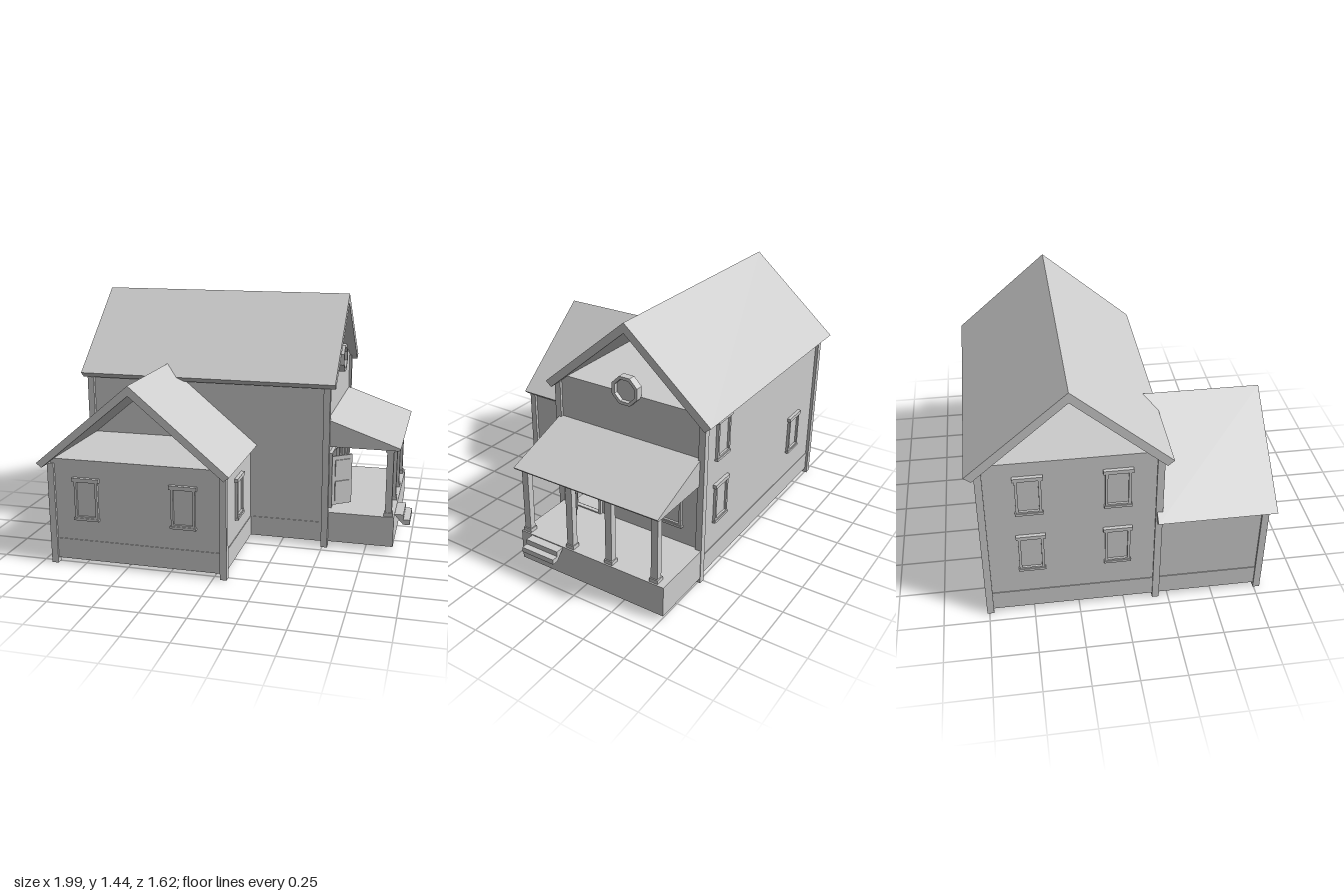
import * as THREE from 'three';

export function createModel() {
  const house = new THREE.Group();
  house.name = 'house';
  const plaster = new THREE.MeshStandardMaterial({ color: 0xcccccc });
  plaster.name = 'light grey';

  const add = (name, geometry, parent = house) => {
    const mesh = new THREE.Mesh(geometry, plaster);
    mesh.name = name;
    parent.add(mesh);
    return mesh;
  };
  // Box given by its limits on each axis
  const block = (name, x0, x1, y0, y1, z0, z1, parent = house) => {
    const mesh = add(name, new THREE.BoxGeometry(x1 - x0, y1 - y0, z1 - z0), parent);
    mesh.position.set((x0 + x1) / 2, (y0 + y1) / 2, (z0 + z1) / 2);
    return mesh;
  };
  const outline = (points) => new THREE.Shape(points.map(([x, y]) => new THREE.Vector2(x, y)));
  const rect = (x0, x1, y0, y1) => [[x0, y0], [x1, y0], [x1, y1], [x0, y1]];
  const extrude = (shape, depth) => new THREE.ExtrudeGeometry(shape, { depth, bevelEnabled: false });
  // Profile drawn in (z, y) and swept along x
  const sweepX = (points, x0, x1) => {
    const g = extrude(outline(points.map(([z, y]) => [-z, y])), x1 - x0);
    return g.rotateY(Math.PI / 2).translate(x0, 0, 0);
  };
  const framed = (w, h, t, depth) => {
    const shape = outline(rect(-w / 2, w / 2, -h / 2, h / 2));
    shape.holes.push(outline(rect(-w / 2 + t, w / 2 - t, -h / 2 + t, h / 2 - t)));
    return extrude(shape, depth);
  };

  // Main shell: thin walls with a doorway, and an open attic above
  const X0 = -0.935, X1 = 0.515, Z0 = -0.745, Z1 = 0.18, TOP = 1.025;
  const wall = (name, w, h, x, y, z, ry, rx = 0) => {
    const mesh = add(name, new THREE.PlaneGeometry(w, h));
    mesh.position.set(x, y, z);
    mesh.rotation.set(rx, ry, 0);
  };
  const midX = (X0 + X1) / 2, midZ = (Z0 + Z1) / 2, midY = (0.1 + TOP) / 2;
  wall('frontWall', X1 - X0, TOP - 0.1, midX, midY, Z1, 0);
  wall('backWall', X1 - X0, TOP - 0.1, midX, midY, Z0, Math.PI);
  wall('leftEndWall', Z1 - Z0, TOP - 0.1, X0, midY, midZ, -Math.PI / 2);
  wall('atticFloor', X1 - X0, Z1 - Z0, midX, TOP, midZ, 0, -Math.PI / 2);
  const porchWall = outline(rect(-Z1, -Z0, 0.1, TOP));
  porchWall.holes.push(outline(rect(-0.085, 0.085, 0.21, 0.535)));
  const pw = add('porchWall', new THREE.ShapeGeometry(porchWall));
  pw.rotation.y = Math.PI / 2;
  pw.position.x = X1;

  block('foundation', X0 - 0.004, X1 + 0.004, 0.03, 0.147, Z0 - 0.004, Z1 + 0.004);

  // Front wing
  block('wingWalls', -0.933, 0.06, 0.1, 0.612, 0.17, 0.77);
  block('wingFoundation', -0.937, 0.064, 0.03, 0.147, 0.17, 0.774);

  // Roofs as bent slabs with open gables
  add('mainRoof', sweepX([
    [0.242, 0.985], [-0.285, 1.44], [-0.812, 0.985],
    [-0.775, 0.955], [-0.285, 1.382], [0.207, 0.955]], -0.967, 0.562));
  add('wingRoof', extrude(outline([
    [-0.995, 0.59], [-0.965, 0.565], [-0.447, 0.995],
    [0.07, 0.565], [0.1, 0.59], [-0.447, 1.05]]), 0.645)).position.z = 0.168;

  // Corner posts reaching the ground
  const post = (name, x, z, top) => block(name, x - 0.019, x + 0.019, 0, top, z - 0.019, z + 0.019);
  post('cornerPost', 0.511, 0.186, 0.985);
  post('cornerPost', 0.511, -0.746, 0.985);
  post('cornerPost', -0.926, -0.744, 0.985);
  post('cornerPost', -0.926, 0.18, 0.985);
  post('wingPost', 0.058, 0.768, 0.585);
  post('wingPost', -0.926, 0.765, 0.585);

  // Windows, built facing +z then turned to the wall
  const windowAt = (x, y, z, ry) => {
    const g = new THREE.Group();
    g.name = 'window';
    add('windowFrame', framed(0.135, 0.225, 0.014, 0.016), g);
    block('windowPane', -0.054, 0.054, -0.1, 0.1, 0, 0.004, g);
    block('windowHeader', -0.078, 0.078, 0.1, 0.122, 0, 0.02, g);
    block('windowSill', -0.073, 0.073, -0.122, -0.108, 0, 0.02, g);
    g.position.set(x, y, z);
    g.rotation.y = ry;
    house.add(g);
  };
  const Q = Math.PI / 2;
  for (const x of [-0.722, -0.165]) windowAt(x, 0.39, 0.77, 0);
  for (const z of [-0.305, -0.565]) windowAt(X1, 0.435, z, Q);
  windowAt(0.06, 0.375, 0.472, Q);
  for (const [x, y] of [[0.31, 0.82], [0.31, 0.43], [-0.63, 0.43]]) windowAt(x, y, Z0, Math.PI);
  for (const z of [-0.5, -0.04]) for (const y of [0.43, 0.82]) windowAt(X0, y, z, -Q);

  // Octagonal gable window
  const ring = (r) => Array.from({ length: 8 }, (_, i) => {
    const a = (i + 0.5) * Math.PI / 4;
    return [r * Math.cos(a), r * Math.sin(a)];
  });
  const gable = new THREE.Group();
  gable.name = 'gableWindow';
  const ringShape = outline(ring(0.087));
  ringShape.holes.push(outline(ring(0.068)));
  add('gableWindowFrame', extrude(ringShape, 0.045), gable);
  add('gableWindowPane', extrude(outline(ring(0.07)), 0.008), gable).position.z = 0.012;
  gable.position.set(0.505, 1.05, -0.28);
  gable.rotation.y = Q;
  house.add(gable);

  // Door frame and open door with raised panels
  const frame = add('doorFrame', framed(0.195, 0.345, 0.015, 0.025));
  frame.position.set(0.51, 0.375, 0);
  frame.rotation.y = Q;
  const door = new THREE.Group();
  door.name = 'door';
  block('doorLeaf', 0, 0.135, 0.225, 0.525, -0.006, 0.006, door);
  for (const side of [-0.009, 0.009]) {
    for (const [y0, y1] of [[0.25, 0.37], [0.4, 0.5]]) {
      block('doorPanel', 0.02, 0.115, y0, y1, side - 0.004, side + 0.004, door);
    }
  }
  door.position.set(0.53, 0, 0.085);
  door.rotation.y = 0.65;
  house.add(door);

  // Stairs inside the doorway
  for (let i = 0; i < 6; i++) {
    block('indoorStair', 0.3 - i * 0.05, 0.35 - i * 0.05, 0.147, 0.21 + i * 0.03, -0.06, 0.02);
  }

  // Porch deck, columns and lean-to roof
  block('porchDeck', 0.5, 0.91, 0.03, 0.21, -0.762, 0.176);
  for (const z of [0.142, -0.155, -0.41, -0.695]) {
    block('porchColumn', 0.857, 0.895, 0.21, 0.615, z - 0.02, z + 0.02);
    block('columnBase', 0.851, 0.901, 0.21, 0.232, z - 0.026, z + 0.026);
    block('columnCap', 0.851, 0.901, 0.595, 0.615, z - 0.026, z + 0.026);
  }
  add('porchRoof', extrude(outline([
    [0.51, 0.612], [0.925, 0.612], [0.935, 0.625], [0.52, 0.77], [0.51, 0.77]]), 0.922))
    .position.z = -0.738;

  // Entrance steps
  add('entranceSteps', extrude(outline([
    [0.905, 0.205], [0.96, 0.145], [0.998, 0.145], [0.998, 0.175],
    [0.96, 0.175], [0.96, 0.205]]), 0.215)).position.z = -0.113;

  return house;
}
